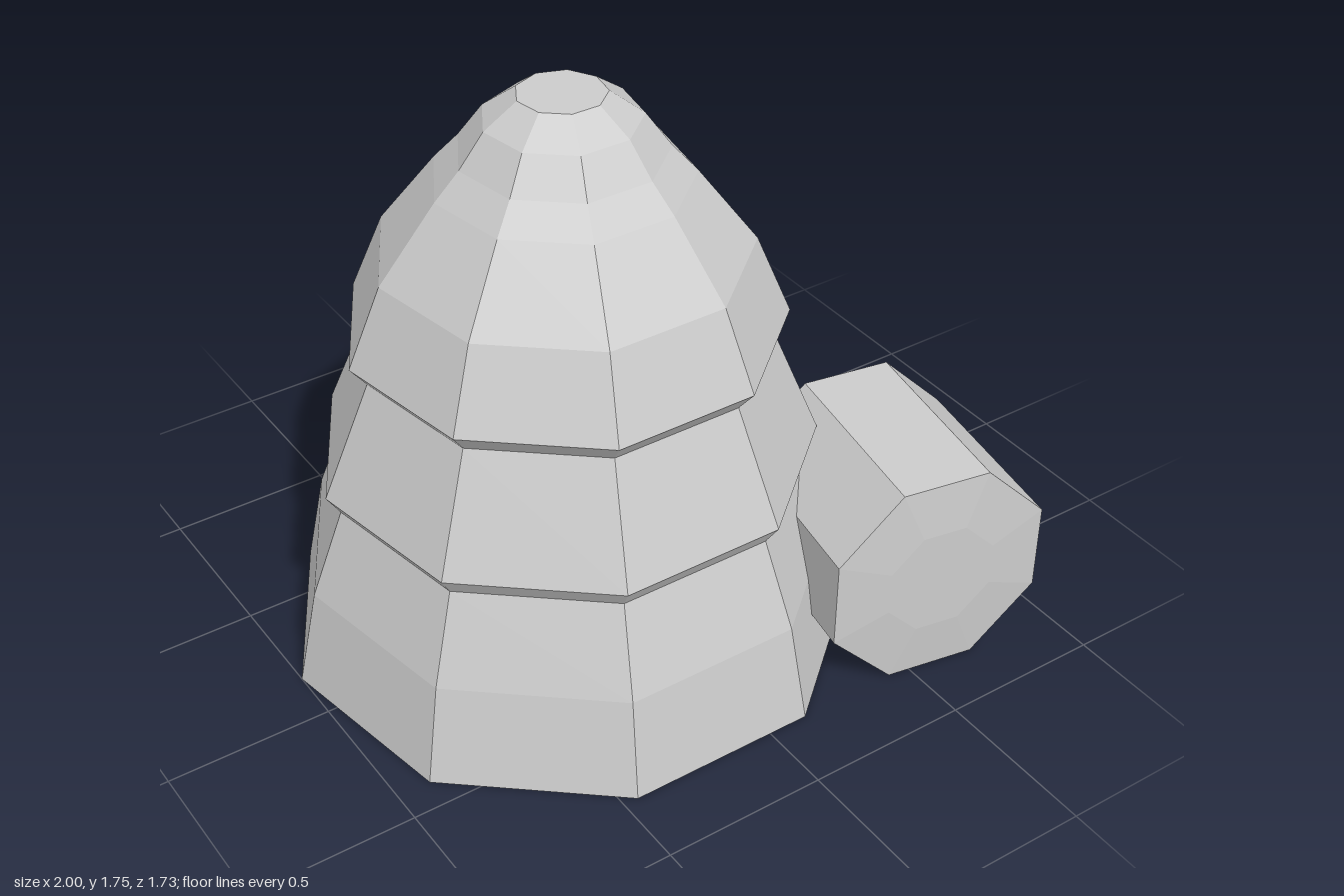
import * as THREE from 'three';

const material = () =>
  new THREE.MeshStandardMaterial({ color: 0xcccccc, flatShading: true, side: THREE.DoubleSide });

// Faceted solid turned around y from [radius, height] pairs, listed bottom to top
function turned(name, profile, sides, phiStart) {
  const points = profile.map(([r, y]) => new THREE.Vector2(r, y));
  const mesh = new THREE.Mesh(new THREE.LatheGeometry(points, sides, phiStart), material());
  mesh.name = name;
  return mesh;
}

export function createModel() {
  const model = new THREE.Group();
  model.name = 'tieredDome';

  // Nine-sided dome in three overhanging tiers, open underneath, flat on top
  const dome = turned('dome', [
    [0.848, 0], [0.787, 0.3], [0.688, 0.57],
    [0.728, 0.63], [0.584, 0.98],
    [0.632, 1.04], [0.533, 1.28], [0.366, 1.5], [0.294, 1.58], [0.222, 1.68], [0.126, 1.75],
    [0, 1.75],
  ], 9, Math.PI);
  dome.position.set(-0.165, 0, -0.017);
  model.add(dome);

  // Eight-sided entrance lying on its side, with a slightly raised front
  const apothem = 0.331;
  const radius = apothem / Math.cos(Math.PI / 8);
  const length = 0.594;
  const entrance = turned('entrance', [
    [0, -length], [radius, -length], [radius, 0], [radius * 0.5, 0.014], [0, 0.014],
  ], 8, Math.PI / 8);
  entrance.geometry.rotateX(Math.PI / 2);
  entrance.rotation.y = THREE.MathUtils.degToRad(-10.1);
  entrance.position.set(0.57, apothem, 0.803);
  model.add(entrance);

  return model;
}
